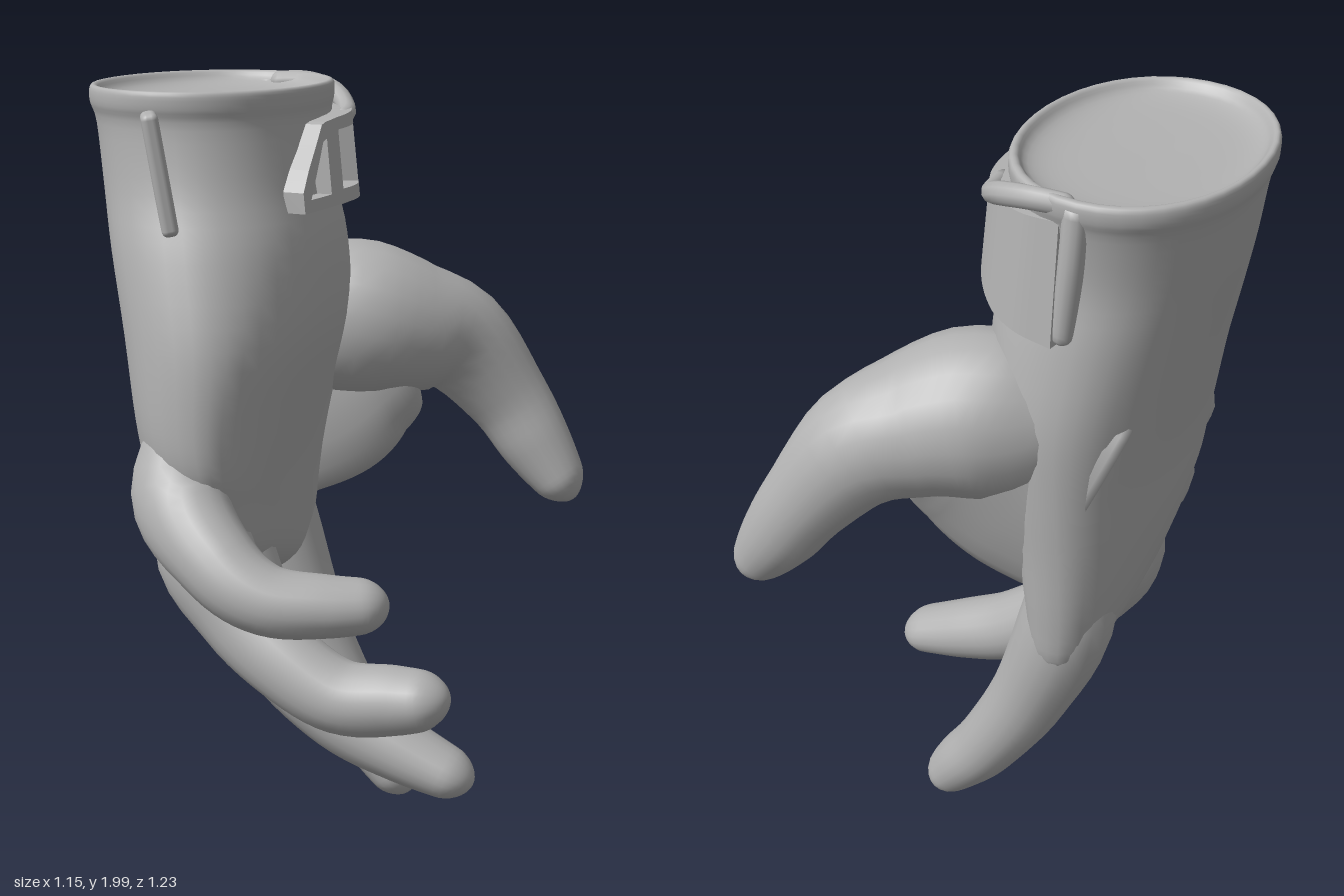
import * as THREE from 'three';
import { toCreasedNormals } from 'three/addons/utils/BufferGeometryUtils.js';
import { RoundedBoxGeometry } from 'three/addons/geometries/RoundedBoxGeometry.js';

const grey = new THREE.MeshStandardMaterial({ color: 0xb2b2b2 });
grey.name = 'glove grey';

// Skin a list of closed rings (arrays of Vector3), closing both ends
function loft(rings) {
  const centre = (r) => {
    const c = r.reduce((s, p) => s.add(p), new THREE.Vector3()).divideScalar(r.length);
    return r.map(() => c);
  };
  const all = [centre(rings[0]), ...rings, centre(rings[rings.length - 1])];
  const n = rings[0].length, pos = [], index = [];
  all.forEach((r) => r.forEach((p) => pos.push(p.x, p.y, p.z)));
  for (let i = 0; i < all.length - 1; i++) {
    for (let j = 0; j < n; j++) {
      const a = i * n + j, b = i * n + (j + 1) % n;
      if (i > 0) index.push(a, b, a + n);
      if (i < all.length - 2) index.push(b, b + n, a + n);
    }
  }
  const g = new THREE.BufferGeometry();
  g.setAttribute('position', new THREE.Float32BufferAttribute(pos, 3));
  g.setIndex(index);
  g.computeVertexNormals();
  return g;
}

// Smooth interpolation through rows of numbers, t in 0..1
function sample(rows, t) {
  const f = t * (rows.length - 1), i = Math.min(Math.floor(f), rows.length - 2), u = f - i;
  const at = (k) => rows[Math.max(0, Math.min(rows.length - 1, k))];
  const [a, b, c, d] = [at(i - 1), at(i), at(i + 1), at(i + 2)];
  return b.map((v, k) => v + 0.5 * u * (c[k] - a[k]
    + u * (2 * a[k] - 5 * v + 4 * c[k] - d[k] + u * (3 * (v - c[k]) + d[k] - a[k]))));
}

// Palm and cuff cross-sections: y, xMin, xMax, zMin, zMax, slope along z, curl of the little-finger side
const palmRows = [
  [1.945, -0.31, -0.27, -0.02, 0.02, 0, 0],
  [1.95, -0.47, -0.11, -0.24, 0.24, 0, 0],
  [1.965, -0.535, -0.04, -0.32, 0.32, 0, 0],
  [1.99, -0.56, -0.015, -0.345, 0.345, 0, 0],
  [1.985, -0.575, 0, -0.365, 0.36, 0, 0],
  [1.95, -0.575, 0, -0.365, 0.36, 0, 0],
  [1.9, -0.558, -0.005, -0.35, 0.35, 0, 0],
  [1.75, -0.53, 0.01, -0.335, 0.37, 0, 0],
  [1.6, -0.495, 0.04, -0.36, 0.42, 0, 0],
  [1.4, -0.45, 0.04, -0.39, 0.47, 0, 0.02],
  [1.2, -0.415, -0.01, -0.39, 0.49, 0, 0.04],
  [1.04, -0.4, -0.05, -0.38, 0.48, 0.1, 0.07],
  [0.9, -0.375, -0.08, -0.37, 0.44, 0.25, 0.08],
  [0.78, -0.335, -0.11, -0.35, 0.4, 0.3, 0.08],
  [0.72, -0.28, -0.16, -0.27, 0.32, 0.3, 0.08],
  [0.71, -0.24, -0.2, -0.1, 0.15, 0.3, 0.08],
];

function palmGeometry(sides = 40, steps = 60) {
  const rings = [];
  for (let i = 0; i <= steps; i++) {
    const [y, x0, x1, z0, z1, slope, curl] = sample(palmRows, i / steps);
    // Oval at the cuff, squarer towards the knuckles
    const exponent = THREE.MathUtils.mapLinear(y, 0.7, 2, 0.82, 0.96);
    const power = (v) => Math.sign(v) * Math.abs(v) ** exponent;
    rings.push(Array.from({ length: sides }, (_, j) => {
      const a = j / sides * Math.PI * 2, s = power(Math.sin(a));
      const z = (z0 + z1) / 2 + s * (z1 - z0) / 2;
      const x = (x0 + x1) / 2 + power(Math.cos(a)) * (x1 - x0) / 2 + curl * Math.max(0, s) ** 2;
      return new THREE.Vector3(x, y + slope * z, z);
    }));
  }
  return loft(rings);
}

// Finger with a rounded tip; rows hold x, y, z, radius in the bending plane, radius sideways
function fingerGeometry(rows, sides = 20, steps = 40) {
  const point = (t) => new THREE.Vector3(...sample(rows, t).slice(0, 3));
  const tip = point(1), tipRadius = rows[rows.length - 1][4];
  const rings = [];
  for (let i = 0; i <= steps; i++) {
    const t = 1 - (1 - i / steps) ** 1.6;
    const p = point(t), [, , , ra, rb] = sample(rows, t);
    const T = point(Math.min(1, t + 0.01)).sub(point(Math.max(0, t - 0.01))).normalize();
    const B = new THREE.Vector3(0, 0, 1).addScaledVector(T, -T.z).normalize();
    const N = B.clone().cross(T);
    const d = Math.min(1, p.distanceTo(tip) / tipRadius);
    const round = Math.max(0.03, Math.sqrt(1 - (1 - d) ** 2));
    rings.push(Array.from({ length: sides }, (_, j) => {
      const a = j / sides * Math.PI * 2;
      return p.clone().addScaledVector(N, Math.cos(a) * ra * round)
        .addScaledVector(B, Math.sin(a) * rb * round);
    }));
  }
  return loft(rings);
}

// Each finger starts narrow inside the palm so that it swells out of it
const fingers = {
  thumb: [[-0.26, 1.38, -0.22, 0.1, 0.1], [-0.13, 1.36, -0.26, 0.19, 0.17], [0, 1.35, -0.31, 0.21, 0.2],
    [0.12, 1.32, -0.38, 0.18, 0.18], [0.23, 1.27, -0.46, 0.15, 0.14], [0.35, 1.12, -0.51, 0.115, 0.105],
    [0.43, 1.0, -0.52, 0.1, 0.095], [0.495, 0.91, -0.52, 0.078, 0.08], [0.55, 0.84, -0.515, 0.05, 0.065]],
  // Web of skin between thumb and index finger
  thumbWeb: [[-0.27, 1.12, -0.27, 0.3, 0.08], [-0.12, 1.19, -0.3, 0.3, 0.1], [0, 1.26, -0.335, 0.25, 0.11],
    [0.1, 1.31, -0.38, 0.18, 0.11], [0.2, 1.31, -0.43, 0.1, 0.08]],
  indexFinger: [[-0.22, 1.1, -0.21, 0.05, 0.06], [-0.225, 0.78, -0.235, 0.12, 0.12], [-0.12, 0.47, -0.245, 0.105, 0.1],
    [0, 0.25, -0.245, 0.09, 0.092], [0.09, 0.13, -0.24, 0.08, 0.088], [0.18, 0.018, -0.23, 0.055, 0.07]],
  middleFinger: [[-0.23, 1.08, 0.06, 0.05, 0.06], [-0.22, 0.77, 0.08, 0.12, 0.115], [-0.1, 0.54, 0.09, 0.108, 0.1],
    [0.08, 0.38, 0.09, 0.1, 0.1], [0.26, 0.295, 0.085, 0.085, 0.092], [0.455, 0.225, 0.08, 0.055, 0.075]],
  ringFinger: [[-0.22, 1.14, 0.25, 0.05, 0.06], [-0.2, 0.88, 0.3, 0.125, 0.12], [-0.08, 0.72, 0.35, 0.11, 0.1],
    [0.06, 0.62, 0.38, 0.1, 0.095], [0.2, 0.555, 0.385, 0.092, 0.095], [0.34, 0.56, 0.37, 0.085, 0.09],
    [0.475, 0.58, 0.365, 0.062, 0.075]],
  littleFinger: [[-0.21, 1.28, 0.34, 0.05, 0.06], [-0.21, 1.04, 0.415, 0.12, 0.105], [-0.07, 0.905, 0.5, 0.1, 0.1],
    [0.06, 0.835, 0.52, 0.086, 0.09], [0.2, 0.82, 0.475, 0.075, 0.085], [0.335, 0.82, 0.41, 0.06, 0.07]],
};

// Wrist strap: its line around the cuff, and strips of u, bottom, top at both ends, leaving two windows
const strapPath = new THREE.CatmullRomCurve3([
  [0.03, 0.2], [0.045, 0.05], [0.045, -0.1], [0.02, -0.2], [-0.04, -0.285], [-0.14, -0.35], [-0.24, -0.365],
].map(([x, z]) => new THREE.Vector3(x, 0, z)));
const strapStrips = [
  [0, 1.7, 1.75, 0.05, 1.7, 1.8],
  [0.05, 1.7, 1.73, 0.2, 1.7, 1.73],
  [0.05, 1.73, 1.8, 0.17, 1.86, 1.9],
  [0.17, 1.86, 1.9, 0.2, 1.865, 1.905],
  [0.2, 1.7, 1.905, 0.3, 1.7, 1.91],
  [0.3, 1.7, 1.735, 0.56, 1.695, 1.73],
  [0.3, 1.88, 1.91, 0.56, 1.88, 1.915],
  [0.56, 1.695, 1.915, 0.75, 1.65, 1.92],
  [0.75, 1.65, 1.92, 1, 1.63, 1.93],
];

function stripGeometry([u0, b0, t0, u1, b1, t1]) {
  const rings = [], steps = 8, mix = THREE.MathUtils.lerp;
  for (let i = 0; i <= steps; i++) {
    const k = i / steps, u = mix(u0, u1, k), b = mix(b0, b1, k), t = mix(t0, t1, k);
    const p = strapPath.getPointAt(u), T = strapPath.getTangentAt(u);
    const corner = (y, depth) => {
      const out = (1.8 - y) * 0.1 - depth;
      return new THREE.Vector3(p.x - T.z * out, y, p.z + T.x * out);
    };
    rings.push([corner(t, 0), corner(b, 0), corner(b, 0.055), corner(t, 0.055)]);
  }
  return toCreasedNormals(loft(rings), 0.6);
}

export function createModel() {
  const model = new THREE.Group();
  model.name = 'glovedHand';
  const add = (name, geometry, parent = model) => {
    const mesh = new THREE.Mesh(geometry, grey);
    mesh.name = name;
    parent.add(mesh);
    return mesh;
  };

  add('palmAndCuff', palmGeometry());
  for (const [name, rows] of Object.entries(fingers)) add(name, fingerGeometry(rows));

  // Strap with a triangular and a four-sided window
  const strap = new THREE.Group();
  strap.name = 'wristStrap';
  strapStrips.forEach((s) => add('strapStrip', stripGeometry(s), strap));
  model.add(strap);

  // Rolled end of the strap, tucked over the rim, and the cuff edge turning down beside it
  add('strapFold', fingerGeometry([[0.0, 1.895, -0.15, 0.02, 0.02], [-0.02, 1.905, -0.24, 0.024, 0.024],
    [-0.08, 1.945, -0.31, 0.027, 0.027], [-0.17, 1.967, -0.338, 0.027, 0.027], [-0.27, 1.965, -0.33, 0.025, 0.025]], 10, 20), strap);
  add('cuffEdge', fingerGeometry([[-0.28, 1.97, -0.345, 0.03, 0.025], [-0.27, 1.82, -0.348, 0.03, 0.03],
    [-0.25, 1.63, -0.352, 0.025, 0.025]], 12, 16));

  // Slim pull tab on the little-finger side of the cuff
  const tab = add('pullTab', new RoundedBoxGeometry(0.04, 0.29, 0.1, 3, 0.015));
  tab.position.set(-0.255, 1.805, 0.385);
  tab.rotation.set(0, 0.5, 0.16);
  return model;
}
